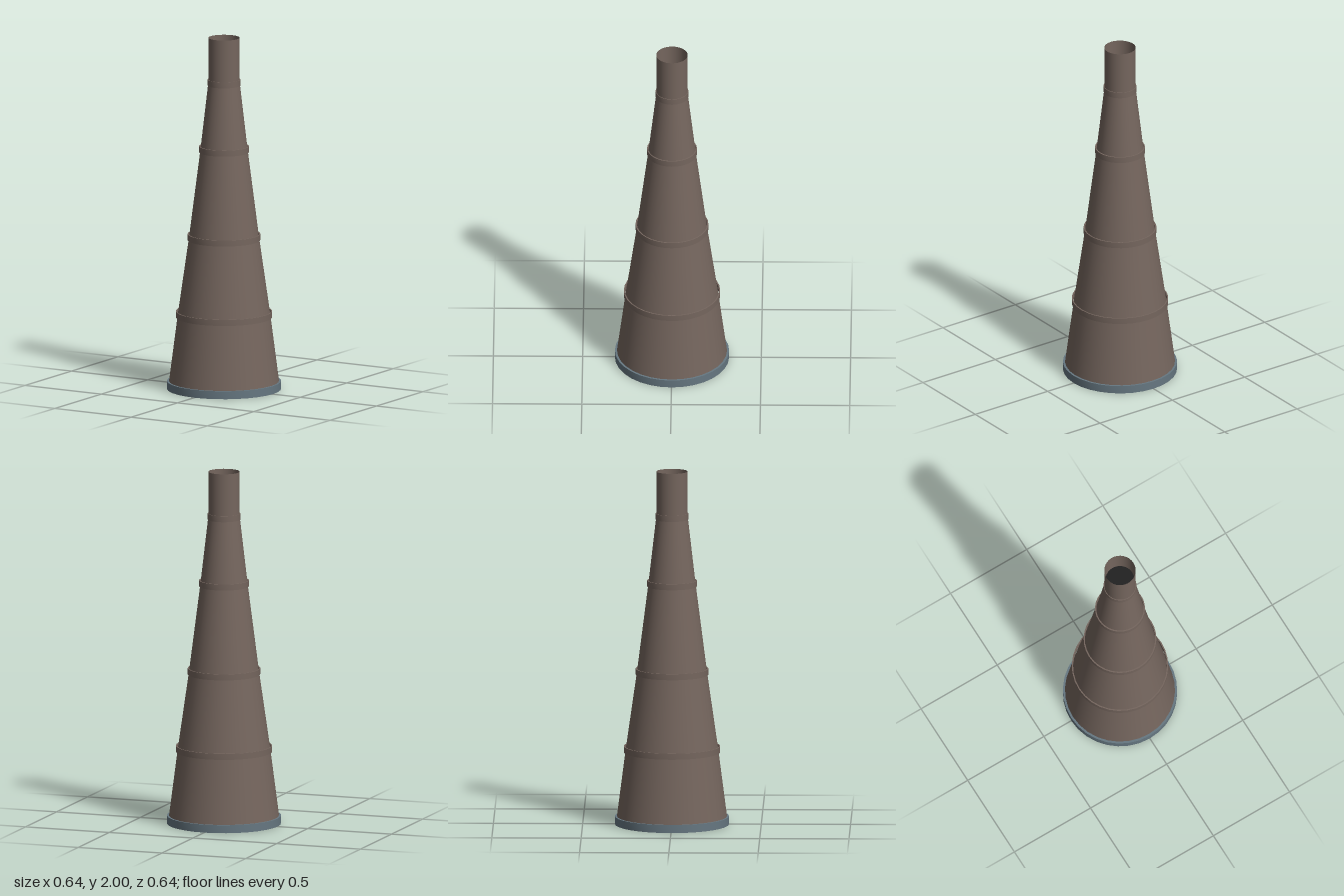
import * as THREE from 'three';
import { toCreasedNormals } from 'three/addons/utils/BufferGeometryUtils.js';

const SIDES = 32;

export function createModel() {
  const group = new THREE.Group();
  const brown = new THREE.MeshStandardMaterial({ color: 0x75665e, side: THREE.DoubleSide });
  brown.name = 'brown';
  const steel = new THREE.MeshStandardMaterial({ color: 0x667781, side: THREE.DoubleSide });
  steel.name = 'blueGrey';
  const black = new THREE.MeshStandardMaterial({ color: 0x222222 });
  black.name = 'sootBlack';

  const add = (name, geometry, material, y = 0) => {
    const mesh = new THREE.Mesh(geometry, material);
    mesh.name = name;
    mesh.position.y = y;
    group.add(mesh);
    return mesh;
  };

  // Flat-sided hoop turned from a closed rectangular profile
  const hoop = (inner, outer, y0, y1) => {
    const profile = [[inner, y0], [outer, y0], [outer, y1], [inner, y1], [inner, y0]];
    const points = profile.map(([r, y]) => new THREE.Vector2(r, y));
    return toCreasedNormals(new THREE.LatheGeometry(points, SIDES), 0.6);
  };

  // Hollow tapering shaft, one section between each pair of joints: [height, radius]
  const joints = [[0, 0.314], [0.425, 0.259], [0.865, 0.196], [1.365, 0.132], [1.745, 0.088], [2, 0.088]];
  for (let i = 0; i < joints.length - 1; i++) {
    const [y0, r0] = joints[i];
    const [y1, r1] = joints[i + 1];
    add('shaftSection' + (i + 1), new THREE.CylinderGeometry(r1, r0, y1 - y0, SIDES, 1, true), brown, (y0 + y1) / 2);
  }

  // Bands covering the joints
  [[0.425, 0.27], [0.865, 0.204], [1.365, 0.14], [1.745, 0.092]].forEach(([y, r], i) => {
    add('band' + (i + 1), hoop(r - 0.007, r, y - 0.017, y + 0.017), brown);
  });

  // Base ring
  add('baseRing', hoop(0.3, 0.32, 0, 0.045), steel);

  // Dark disc inside the flue
  add('flueDisc', new THREE.CircleGeometry(0.081, SIDES), black, 1.85).rotation.x = -Math.PI / 2;

  return group;
}
